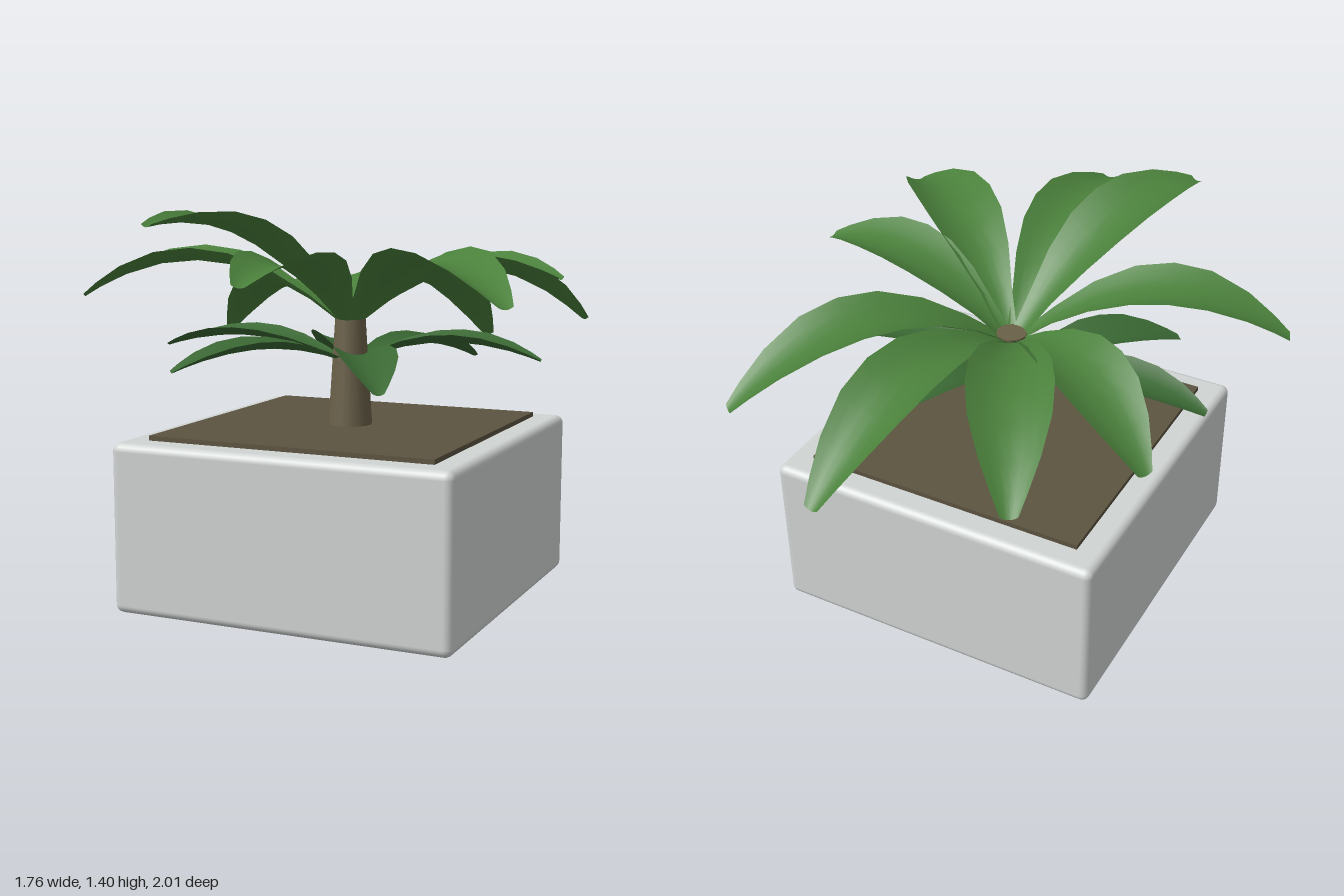
import * as THREE from 'three';
import { RoundedBoxGeometry } from 'three/addons/geometries/RoundedBoxGeometry.js';

const CX = 0.055, CZ = 0.025; // plant and pot axis

// Half-width of a leaf along its length: [t, width factor]
const OUTLINE = [[0, 0.2], [0.13, 0.42], [0.27, 0.72], [0.42, 0.94], [0.56, 1], [0.7, 0.93], [0.84, 0.68], [0.94, 0.4], [1, 0.2]];
const ACROSS = 6;

// Arched, cupped leaf from the stem to a tip, passing height midY halfway
function leafGeometry(tipX, tipZ, tipY, midY, baseY, halfWidth) {
  const dx = tipX - CX, dz = tipZ - CZ, length = Math.hypot(dx, dz);
  const ux = dx / length, uz = dz / length;
  const controlY = 2 * midY - (baseY + tipY) / 2;
  const positions = [], index = [];
  for (const [t, factor] of OUTLINE) {
    const r = 0.02 + (length - 0.02) * t;
    const y = (1 - t) ** 2 * baseY + 2 * t * (1 - t) * controlY + t * t * tipY;
    const w = halfWidth * factor;
    for (let j = 0; j <= ACROSS; j++) {
      const s = (j / ACROSS) * 2 - 1;
      positions.push(CX + ux * r - uz * w * s, y + 0.35 * w * s * s, CZ + uz * r + ux * w * s);
    }
  }
  const row = ACROSS + 1;
  for (let i = 0; i < OUTLINE.length - 1; i++) {
    for (let j = 0; j < ACROSS; j++) {
      const a = i * row + j, b = a + row;
      index.push(a, a + 1, b, b, a + 1, b + 1);
    }
  }
  const geometry = new THREE.BufferGeometry();
  geometry.setAttribute('position', new THREE.Float32BufferAttribute(positions, 3));
  geometry.setIndex(index);
  geometry.computeVertexNormals();
  return geometry;
}

export function createModel() {
  const material = (name, color, side = THREE.FrontSide) => {
    const m = new THREE.MeshStandardMaterial({ color, side });
    m.name = name;
    return m;
  };
  const stone = material('pale grey stone', 0xd0d4d2);
  const earth = material('brown soil', 0x5c5440);
  const bark = material('brown bark', 0x6a6049);
  const green = material('leaf green', 0x4a803b, THREE.DoubleSide);
  const darkGreen = material('dark leaf green', 0x3a6833, THREE.DoubleSide);

  const model = new THREE.Group();
  model.name = 'pottedPlant';
  const add = (parent, name, geometry, mat, y = 0, x = CX, z = CZ) => {
    const mesh = new THREE.Mesh(geometry, mat);
    mesh.name = name;
    mesh.position.set(x, y, z);
    parent.add(mesh);
  };

  // Planter, soil and stem
  add(model, 'pot', new RoundedBoxGeometry(1.255, 0.605, 1.255, 3, 0.03), stone, 0.3025);
  add(model, 'soil', new THREE.BoxGeometry(1.06, 0.06, 1.06), earth, 0.592);
  add(model, 'trunk', new THREE.CylinderGeometry(0.055, 0.081, 0.41, 16), bark, 0.805);

  // Whorls of leaves: [tip x, tip z, tip height, mid height]
  const upper = [
    [0.23, -1.0, 0.86, 1.11], [0.7, -0.79, 0.96, 1.17], [0.85, 0.08, 1.17, 1.19],
    [0.865, 0.72, 1.12, 1.23], [0.13, 1.0, 1.18, 1.21], [-0.31, 0.81, 1.35, 1.3],
    [-0.87, 0.34, 1.08, 1.21], [-0.66, -0.4, 0.91, 1.1], [-0.4, -0.84, 0.95, 1.13],
  ];
  const lower = [
    [0.735, -0.09, 0.87, 0.93], [0.38, 0.53, 0.81, 0.9], [-0.4, 0.52, 0.84, 0.91],
    [-0.69, 0.05, 0.88, 0.93], [-0.27, -0.51, 0.8, 0.9], [0.35, -0.49, 0.83, 0.9],
  ];
  const whorl = (name, tips, baseY, halfWidth, mat) => {
    const group = new THREE.Group();
    group.name = name;
    tips.forEach((tip, i) => add(group, `${name}Leaf${i + 1}`, leafGeometry(...tip, baseY, halfWidth), mat, 0, 0, 0));
    model.add(group);
  };
  whorl('upper', upper, 0.98, 0.145, green);
  whorl('lower', lower, 0.85, 0.105, darkGreen);

  return model;
}
